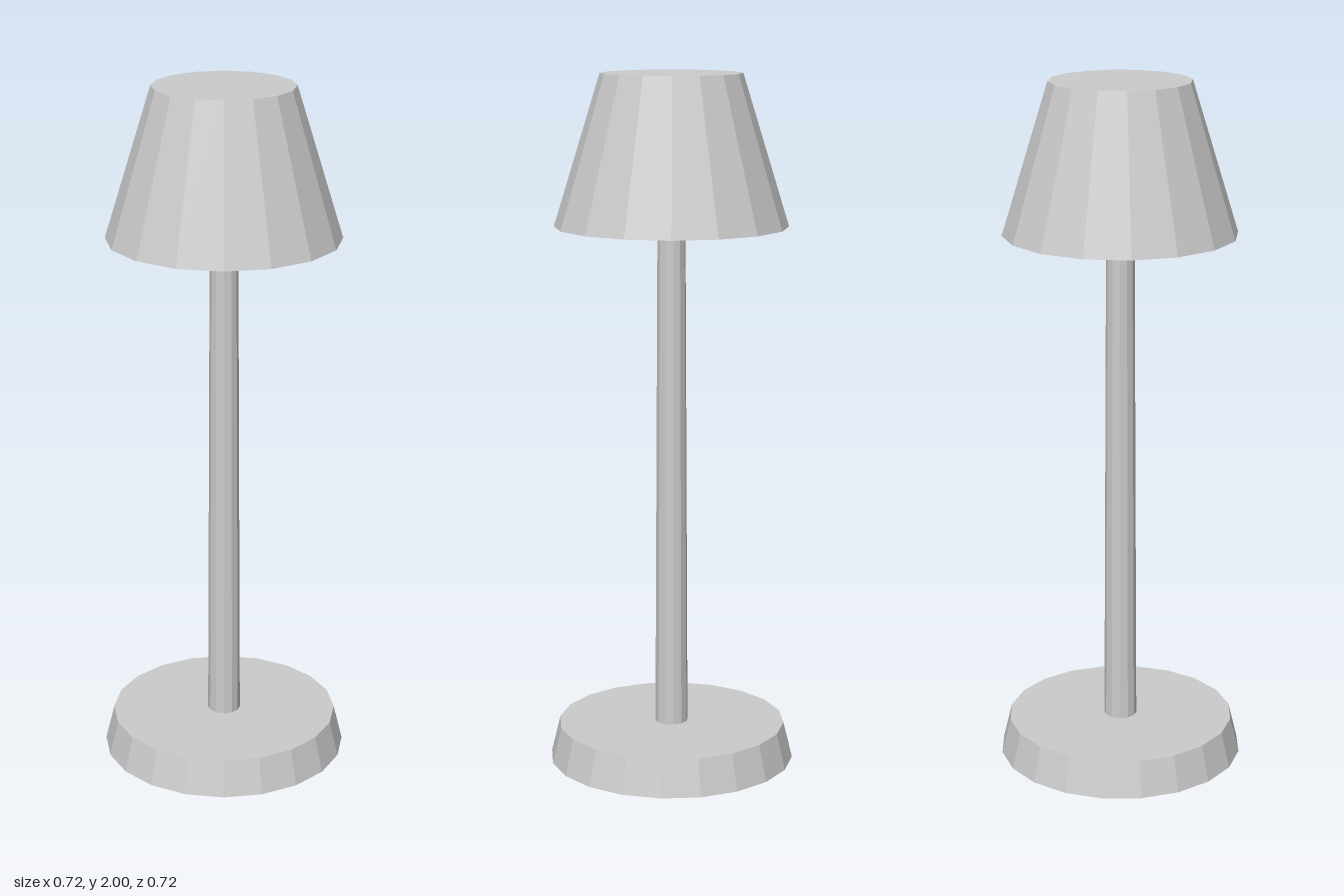
import * as THREE from 'three';

export function createModel() {
  const group = new THREE.Group();
  group.name = 'tableLamp';

  const lightGrey = new THREE.MeshStandardMaterial({ color: 0xcccccc, flatShading: true });
  lightGrey.name = 'lightGrey';

  // Tapered round part standing between two heights
  function taper(name, topRadius, bottomRadius, y0, y1, sides) {
    const geometry = new THREE.CylinderGeometry(topRadius, bottomRadius, y1 - y0, sides);
    const mesh = new THREE.Mesh(geometry, lightGrey);
    mesh.name = name;
    mesh.position.y = (y0 + y1) / 2;
    group.add(mesh);
  }

  taper('base', 0.332, 0.358, 0, 0.106, 20);
  taper('pole', 0.04, 0.048, 0.1, 1.58, 12);
  taper('shade', 0.2, 0.332, 1.572, 2, 16);

  return group;
}
